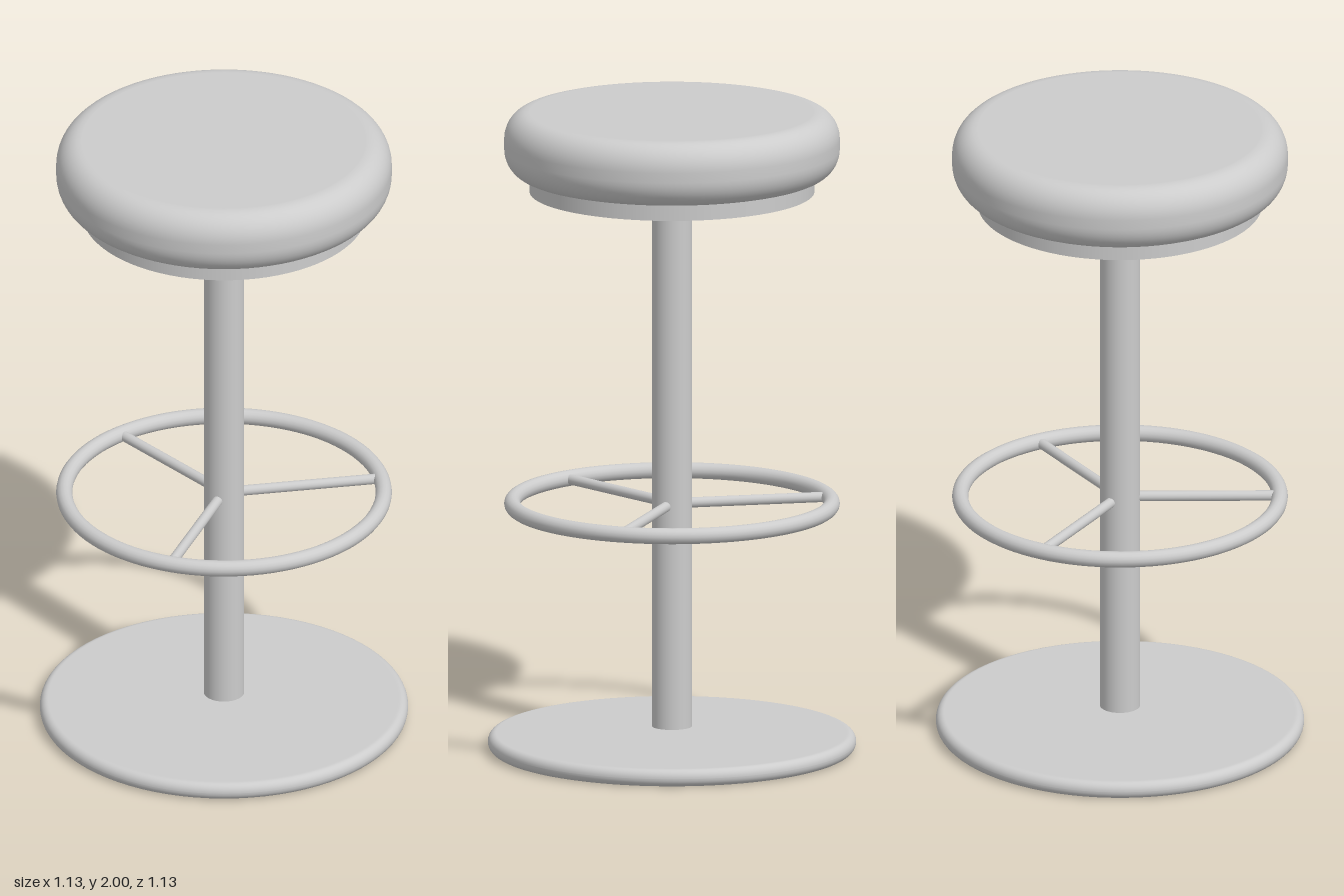
import * as THREE from 'three';

const metal = new THREE.MeshStandardMaterial({ color: 0xcccccc });
metal.name = 'light grey';

// Solid disc with a rounded rim; rx and ry are the radii of the rim corners
function roundedDisc(radius, y0, y1, rx, ry) {
  const inner = radius - rx;
  const points = [new THREE.Vector2(0, y0), new THREE.Vector2(inner - 0.004, y0)];
  const steps = 10;
  for (let i = 0; i <= steps; i++) {
    const a = (i / steps - 1) * Math.PI / 2;
    points.push(new THREE.Vector2(inner + rx * Math.cos(a), y0 + ry + ry * Math.sin(a)));
  }
  for (let i = 0; i <= steps; i++) {
    const a = (i / steps) * Math.PI / 2;
    points.push(new THREE.Vector2(inner + rx * Math.cos(a), y1 - ry + ry * Math.sin(a)));
  }
  points.push(new THREE.Vector2(inner - 0.004, y1), new THREE.Vector2(0, y1));
  return new THREE.LatheGeometry(points, 80);
}

// Upright cylinder between two heights
function column(radius, y0, y1, sides) {
  return new THREE.CylinderGeometry(radius, radius, y1 - y0, sides).translate(0, (y0 + y1) / 2, 0);
}

export function createModel() {
  const stool = new THREE.Group();
  stool.name = 'barStool';

  const add = (name, geometry) => {
    const mesh = new THREE.Mesh(geometry, metal);
    mesh.name = name;
    stool.add(mesh);
    return mesh;
  };

  // Floor plate, post and seat
  add('base', roundedDisc(0.565, 0, 0.054, 0.025, 0.0265));
  add('post', column(0.062, 0.075, 1.76, 40));
  add('seatPlate', column(0.437, 1.75, 1.81, 80));
  add('seatCushion', roundedDisc(0.515, 1.8, 2, 0.075, 0.085));

  // Foot ring
  const ringY = 0.773;
  add('footRing', new THREE.TorusGeometry(0.49, 0.025, 16, 96).rotateX(Math.PI / 2).translate(0, ringY, 0));

  // Three spokes joining the ring to the post
  const start = 0.05, end = 0.475;
  for (let i = 0; i < 3; i++) {
    const spoke = add('spoke', new THREE.CylinderGeometry(0.016, 0.016, end - start, 16)
      .rotateZ(Math.PI / 2).translate((start + end) / 2, ringY, 0));
    spoke.rotation.y = Math.PI + i * Math.PI * 2 / 3;
  }

  return stool;
}
